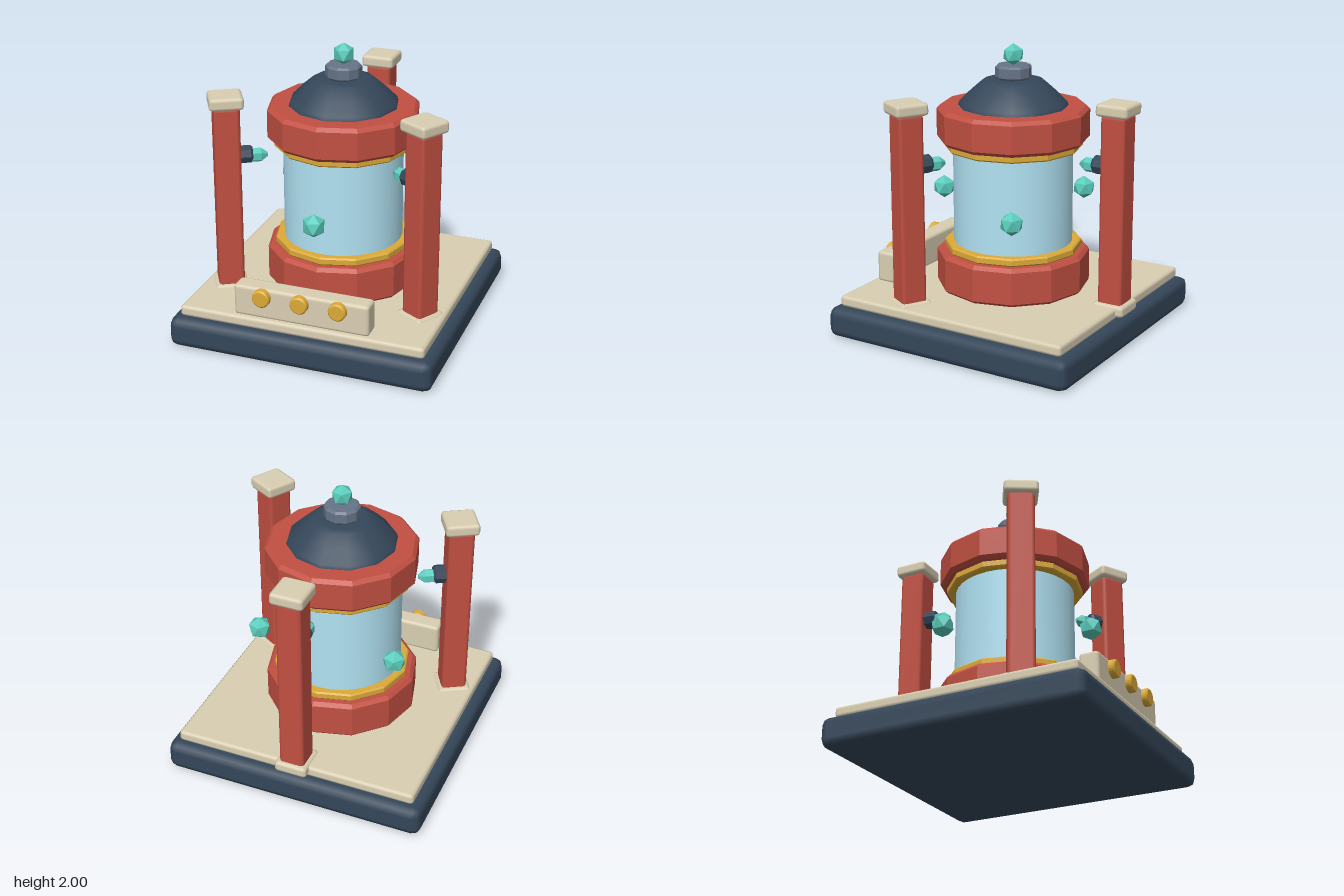
import * as THREE from 'three';
import { RoundedBoxGeometry } from 'three/addons/geometries/RoundedBoxGeometry.js';

const paint = (color, flatShading = false) => new THREE.MeshStandardMaterial({ color, flatShading });
const navy = 0x35475a, cream = 0xdacfb3, red = 0xc25042, gold = 0xdcaa38;
const teal = 0x5accbc, slate = 0x667487, glass = 0xb2e3f4;

function add(parent, name, geometry, color, x = 0, y = 0, z = 0, flat = false) {
  const mesh = new THREE.Mesh(geometry, paint(color, flat));
  mesh.name = name;
  mesh.position.set(x, y, z);
  parent.add(mesh);
  return mesh;
}

// Softly bevelled block resting on height y
function block(parent, name, color, w, h, d, bevel, x, y, z) {
  return add(parent, name, new RoundedBoxGeometry(w, h, d, 1, bevel), color, x, y + h / 2, z);
}

// Closed solid of revolution from [radius, height] pairs, listed bottom to top
function turned(profile, sides) {
  return new THREE.LatheGeometry(profile.map(([r, y]) => new THREE.Vector2(r, y)), sides);
}

// Many-sided disc with chamfered rims, base at 0
function disc(r, h, c, sides) {
  return turned([[0, 0], [r - c, 0], [r, c], [r, h - c], [r - c, h], [0, h]], sides);
}

// Icosahedron with a corner pointing straight up
function gem(r) {
  return new THREE.IcosahedronGeometry(r, 0).rotateZ(Math.atan(2 / (1 + Math.sqrt(5))));
}

export function createModel() {
  const model = new THREE.Group();
  model.name = 'crystalChamber';

  // Stepped platform
  block(model, 'base', navy, 1.875, 0.215, 1.875, 0.06, 0, 0, 0);
  block(model, 'deck', cream, 1.74, 0.08, 1.74, 0.025, 0, 0.215, 0);

  // Central chamber, stacked upwards
  add(model, 'lowerDrum', disc(0.534, 0.275, 0.025, 12), red, 0, 0.29, 0, true);
  add(model, 'lowerBand', disc(0.478, 0.055, 0.01, 12), gold, 0, 0.565, 0, true);
  add(model, 'glassTank', new THREE.CylinderGeometry(0.415, 0.415, 0.69, 32), glass, 0, 0.95, 0);
  add(model, 'upperBand', disc(0.478, 0.055, 0.01, 12), gold, 0, 1.285, 0, true);
  add(model, 'upperDrum', disc(0.526, 0.24, 0.025, 12), red, 0, 1.335, 0, true);
  const dome = [[0.38, 1.57], [0.37, 1.6], [0.29, 1.68], [0.215, 1.745], [0.17, 1.76], [0, 1.76]];
  add(model, 'dome', turned(dome, 12), navy);
  add(model, 'finialCollar', disc(0.125, 0.095, 0.015, 10), slate, 0, 1.76, 0, true);
  add(model, 'finialGem', gem(0.076), teal, 0, 1.924, 0, true);

  // Three pillars with emitters facing inwards, built on +z and swung round
  for (const turn of [1, 3, 5]) {
    const pillar = new THREE.Group();
    pillar.name = 'pillar';
    pillar.rotation.y = turn * Math.PI / 3;
    block(pillar, 'pillarFoot', cream, 0.235, 0.08, 0.235, 0.025, 0, 0.23, 0.804);
    block(pillar, 'pillarShaft', red, 0.18, 1.32, 0.18, 0.025, 0, 0.29, 0.804);
    block(pillar, 'pillarCap', cream, 0.235, 0.087, 0.235, 0.025, 0, 1.6, 0.804);

    const collar = disc(0.065, 0.11, 0.015, 8).rotateX(-Math.PI / 2);
    add(pillar, 'emitterCollar', collar, navy, 0, 1.245, 0.74, true);
    const crystal = turned([[0, 0], [0.05, 0], [0.05, 0.075], [0.015, 0.12], [0, 0.12]], 6);
    add(pillar, 'emitterCrystal', crystal.rotateX(-Math.PI / 2), teal, 0, 1.235, 0.647, true);
    model.add(pillar);
  }

  // Three gems hovering around the tank, between the pillars
  for (let i = 0; i < 3; i++) {
    const a = i * Math.PI * 2 / 3;
    add(model, 'orbitGem', gem(0.083), teal, 0.577 * Math.sin(a), 0.905, 0.577 * Math.cos(a), true);
  }

  // Control panel with three round buttons
  block(model, 'controlPanel', cream, 0.96, 0.225, 0.14, 0.025, 0, 0.285, 0.765);
  for (const x of [-0.27, 0, 0.27]) {
    add(model, 'button', disc(0.062, 0.06, 0.01, 24).rotateX(Math.PI / 2), gold, x, 0.45, 0.817, true);
  }
  return model;
}
